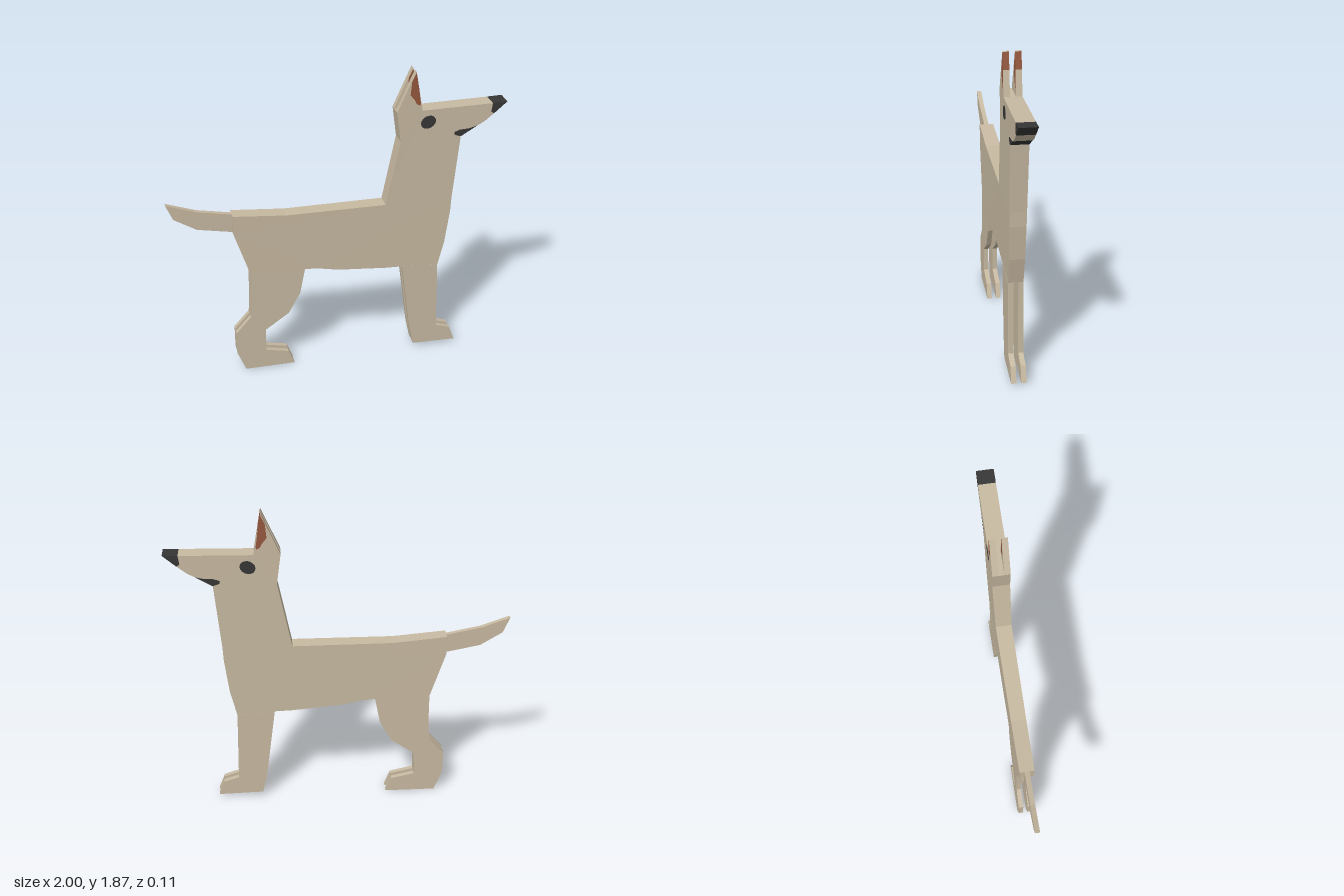
import * as THREE from 'three';

const material = (name, color) => {
  const m = new THREE.MeshStandardMaterial({ color });
  m.name = name;
  return m;
};

// Half thickness: slim at the rump and belly, widest at the neck and head
const halfWidth = (x, y) => {
  const up = THREE.MathUtils.clamp((y - 0.6) / 0.7, 0, 1);
  const forward = THREE.MathUtils.clamp(x + 0.62, 0, 1);
  return 0.043 + 0.008 * up * forward;
};

export function createModel() {
  const coat = material('sand coat', 0xc8baa2);
  const dark = material('charcoal', 0x363636);
  const brown = material('inner ear brown', 0x96583e);
  const dog = new THREE.Group();
  dog.name = 'dog';

  const add = (name, geometry, mat) => {
    const mesh = new THREE.Mesh(geometry, mat);
    mesh.name = name;
    dog.add(mesh);
  };

  // Flat side silhouette extruded between two z planes
  const slab = (points, z0, z1) => {
    const shape = new THREE.Shape(points.map(([x, y]) => new THREE.Vector2(x, y)));
    const g = new THREE.ExtrudeGeometry(shape, { depth: z1 - z0, bevelEnabled: false });
    return g.translate(0, 0, z0);
  };

  // Silhouette whose thickness follows halfWidth
  const taperedSlab = (points) => {
    const g = slab(points, -1, 1);
    const p = g.attributes.position;
    for (let i = 0; i < p.count; i++) {
      p.setZ(i, p.getZ(i) * halfWidth(p.getX(i), p.getY(i)));
    }
    g.computeVertexNormals();
    return g;
  };

  // Mirrored pair of plates
  const pair = (name, points, inner, outer, mat) => {
    add(name + 'Front', slab(points, inner, outer), mat);
    add(name + 'Back', slab(points, -outer, -inner), mat);
  };

  // Torso, neck and head, leaving room for nose and mouth
  add('body', taperedSlab([
    [-0.625, 1.075], [-0.625, 0.96], [-0.535, 0.68], [-0.205, 0.67], [-0.12, 0.662],
    [0, 0.637], [0.3, 0.61], [0.4, 0.607], [0.625, 0.59], [0.662, 0.75], [0.688, 0.96],
    [0.692, 1.05], [0.727, 1.447], [0.69, 1.46], [0.686, 1.477], [0.72, 1.49],
    [0.77, 1.492], [0.825, 1.505], [0.87, 1.53], [0.922, 1.572], [0.905, 1.585],
    [0.912, 1.637], [0.49, 1.63], [0.34, 1.63], [0.365, 1.447], [0.285, 1.047],
    [-0.31, 1.047],
  ]), coat);

  // Muzzle markings run through the full thickness
  add('nose', taperedSlab([[0.922, 1.572], [1, 1.64], [0.912, 1.637], [0.905, 1.585]]), dark);
  add('mouth', taperedSlab([
    [0.727, 1.447], [0.825, 1.505], [0.77, 1.492], [0.72, 1.49], [0.686, 1.477], [0.69, 1.46],
  ]), dark);

  // Tail
  add('tail', slab([
    [-0.625, 1.075], [-0.83, 1.115], [-1, 1.175], [-0.96, 1.08], [-0.83, 1.0], [-0.625, 0.96],
  ], -0.014, 0.014), coat);

  // Legs
  pair('foreleg', [
    [0.4, 0.607], [0.46, 0.15], [0.488, 0.027], [0.76, 0.02], [0.725, 0.112],
    [0.635, 0.142], [0.625, 0.59],
  ], 0.014, 0.044, coat);
  pair('hindLeg', [
    [-0.535, 0.68], [-0.535, 0.5], [-0.543, 0.375], [-0.635, 0.27], [-0.635, 0.125],
    [-0.585, 0], [-0.28, 0], [-0.315, 0.09], [-0.455, 0.122], [-0.455, 0.27],
    [-0.31, 0.372], [-0.237, 0.505], [-0.205, 0.67],
  ], 0.014, 0.043, coat);

  // Ears: coat around a brown inner patch that reaches the front edge
  const patch = [
    [0.447, 1.865], [0.422, 1.81], [0.415, 1.73], [0.44, 1.7], [0.455, 1.672],
    [0.474, 1.663], [0.478, 1.675], [0.464, 1.77],
  ];
  pair('ear', [
    [0.34, 1.63], [0.49, 1.63], ...[...patch].reverse(), [0.445, 1.87],
  ], 0.016, 0.051, coat);
  pair('innerEar', patch, 0.016, 0.051, brown);

  // Eyes: thin tilted ovals on both cheeks
  const oval = new THREE.EllipseCurve(0.527, 1.556, 0.046, 0.038, 0, Math.PI * 2, false, 0.45);
  const eye = oval.getPoints(16).slice(0, 16).map((v) => [v.x, v.y]);
  pair('eye', eye, 0.049, 0.053, dark);

  return dog;
}
